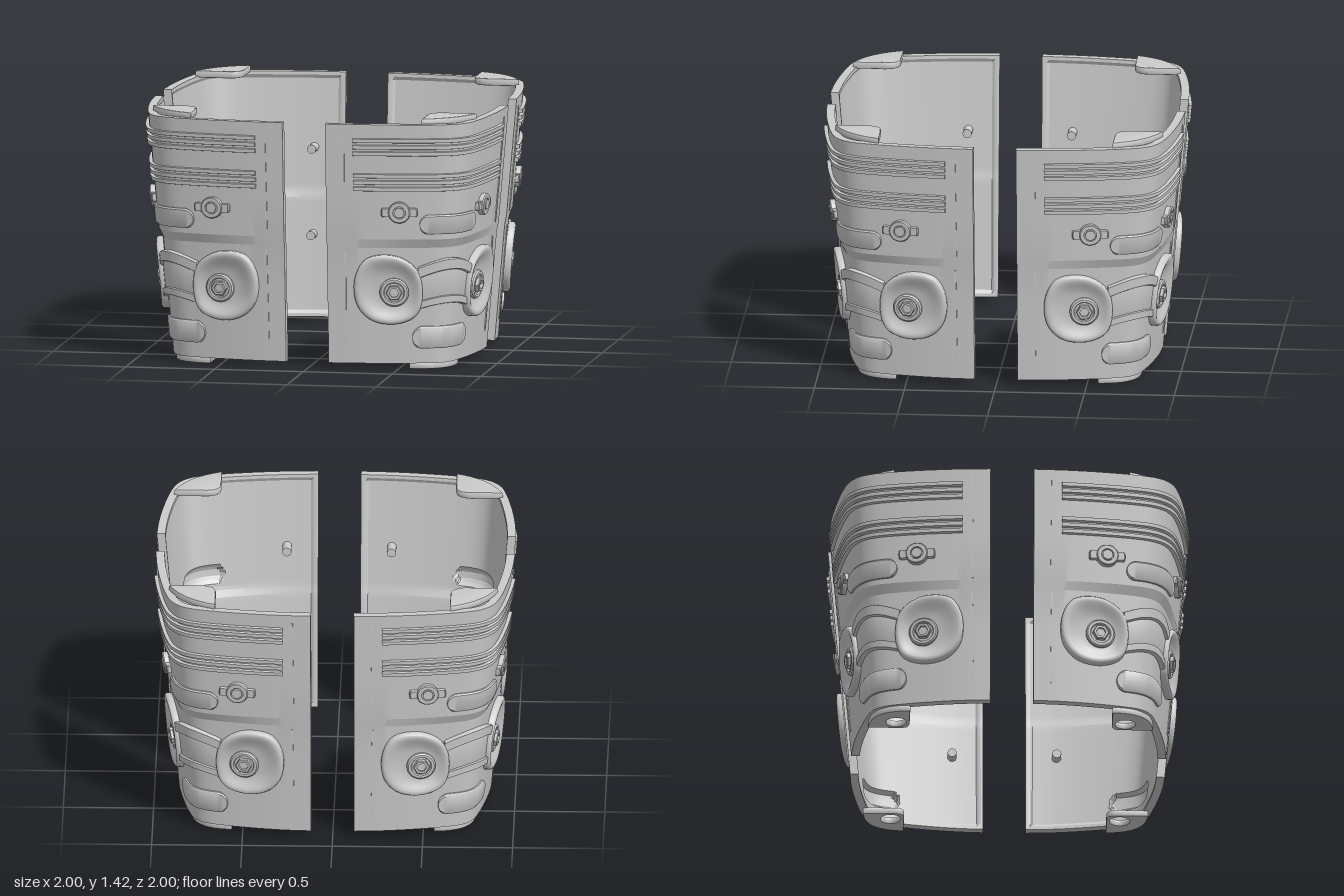
import * as THREE from 'three';
import { toCreasedNormals } from 'three/addons/utils/BufferGeometryUtils.js';

const material = new THREE.MeshStandardMaterial({ color: 0xcccccc, side: THREE.DoubleSide });
const Y0 = 0.035, Y1 = 1.39, END = 0.12;
const clamp = THREE.MathUtils.clamp, smooth = THREE.MathUtils.smoothstep;

// Plan curve of a corner panel at its top edge, symmetric about the diagonal
const half = [[0.12, 0.995], [0.3, 0.986], [0.5, 0.964], [0.69, 0.931], [0.795, 0.9]];
const plan = new THREE.CatmullRomCurve3(
  [...half, [0.858, 0.858], ...half.slice().reverse().map(([x, z]) => [z, x])]
    .map(([x, z]) => new THREE.Vector3(x, 0, z)), false, 'centripetal');
plan.arcLengthDivisions = 400;

const taper = y => 0.866 + 0.134 * (y - Y0) / (Y1 - Y0);

// Point on the panel: t along the plan, height y, d outward from the skin.
// The lower half steps inward, most of all at the corner.
function skin(t, y, d) {
  t = clamp(t, 0, 1);
  const p = plan.getPointAt(t), n = plan.getTangentAt(t), k = taper(y);
  d -= (0.006 + 0.016 * Math.sin(Math.PI * t) ** 2) * (1 - clamp((y - 0.69) / 0.05, 0, 1));
  return new THREE.Vector3(END + (p.x - END) * k - n.z * d, y, END + (p.z - END) * k + n.x * d);
}

// Plan parameter of a position x on the front face
function tOf(x, y) {
  let lo = 0, hi = 0.6;
  for (let i = 0; i < 18; i++) {
    const m = (lo + hi) / 2;
    if (END + (plan.getPointAt(m).x - END) * taper(y) < x) lo = m; else hi = m;
  }
  return lo;
}

// Joins rings of equal length into one surface
function loft(rings, closed, flip, crease = 0.6) {
  const n = rings[0].length, index = [], m = closed ? n : n - 1;
  for (let r = 0; r < rings.length - 1; r++) {
    for (let i = 0; i < m; i++) {
      const a = r * n + i, b = r * n + (i + 1) % n, c = b + n, d = a + n;
      index.push(...(flip ? [a, c, b, a, d, c] : [a, b, c, a, c, d]));
    }
  }
  const g = new THREE.BufferGeometry().setFromPoints(rings.flat());
  g.setIndex(index);
  return toCreasedNormals(g, crease);
}

function add(group, name, geometry) {
  const mesh = new THREE.Mesh(geometry, material);
  mesh.name = name;
  group.add(mesh);
}

// Raised strip along the panel; round gives it stadium ends, arch lifts its middle
function strip(t0, t1, yLow, yHigh, d, { round = false, arch = 0, steps = 36, rows = 1 } = {}) {
  const top = Array.from({ length: rows + 1 }, (_, i) => [0.08 + 0.84 * i / rows, d]);
  const section = [[0, -0.01], [0, 0.6 * d], ...top, [1, 0.6 * d], [1, -0.01]];
  const length = 1.55 * (t1 - t0), h = (yHigh - yLow) / 2, rings = [];
  for (let i = 0; i <= steps; i++) {
    const f = round ? (1 - Math.cos(Math.PI * i / steps)) / 2 : i / steps;
    const e = Math.min(f, 1 - f) * length;
    const hh = round && e < h ? Math.sqrt(Math.max(0, h * h - (h - e) ** 2)) : h;
    const mid = (yLow + yHigh) / 2 + arch * Math.sin(Math.PI * f);
    const row = q => section.map(([v, dd]) => skin(t0 + (t1 - t0) * f, mid + hh * (2 * v - 1), q ?? dd));
    if (i === 0) rings.push(row(-0.01));
    rings.push(row());
    if (i === steps) rings.push(row(-0.01));
  }
  return loft(rings, false, true);
}

// Raised boss: outline [dx, dy] about (x, y), profile of [scale, d] from rim to middle
function boss(x, y, outline, profile, mirror, crease) {
  const pts = mirror ? outline.slice().reverse() : outline;
  const rings = profile.map(([s, d]) => pts.map(([dx, dy]) => {
    const t = tOf(x + dx * s, y + dy * s);
    return skin(mirror ? 1 - t : t, y + dy * s, d);
  }));
  return loft(rings, true, false, crease);
}

const circle = (r, n) => Array.from({ length: n }, (_, i) =>
  [r * Math.cos(i * 2 * Math.PI / n), r * Math.sin(i * 2 * Math.PI / n)]);

// Corner pads [x start, low, high]; the wall is hollowed behind them
const pads = [[0.635, 0.77, 0.88], [0.585, 0.12, 0.245]].map(([x, a, b]) => ({ t: tOf(x, (a + b) / 2), a, b }));

// Inner face depth: thick border, thinner field, pockets behind the pads
function innerDepth(t, y) {
  const edge = Math.min(t * 1.55, (1 - t) * 1.55, y - Y0, Y1 - y);
  let d = -0.047 + 0.012 * smooth(edge, 0.025, 0.035);
  for (const { t: tp, a, b } of pads) {
    const h = (b - a) / 2, run = (0.5 - tp) * 1.55 - h;
    const away = Math.hypot(Math.max(0, Math.abs(t - 0.5) * 1.55 - run), y - (a + b) / 2);
    d += 0.025 * (1 - smooth(away, h - 0.024, h - 0.008));
  }
  return d;
}

function wall() {
  const outer = [Y0, 0.2, 0.45, 0.69, 0.74, 1, 1.2, Y1], steps = 110, inner = 72, rings = [];
  for (let i = 0; i <= steps; i++) {
    const t = i / steps;
    const ring = q => [
      ...outer.map(y => skin(t, y, q ?? 0)),
      ...Array.from({ length: inner + 1 }, (_, j) => {
        const y = Y1 - (Y1 - Y0) * j / inner;
        return skin(t, y, q ?? innerDepth(t, y));
      })];
    if (i === 0) rings.push(ring(-0.02));
    rings.push(ring());
    if (i === steps) rings.push(ring(-0.02));
  }
  return loft(rings, true, true, 0.16);
}

// Corner lug plate with a hole and softened edges
function lug(inner, outer, bulge, hole, r, top, depth, round) {
  const s = new THREE.Shape();
  s.moveTo(inner + round, inner);
  s.lineTo(outer, inner);
  s.quadraticCurveTo(bulge, bulge, inner, outer);
  s.lineTo(inner, inner + round);
  s.quadraticCurveTo(inner, inner, inner + round, inner);
  s.holes.push(new THREE.Path().absarc(hole, hole, r, 0, Math.PI * 2, true));
  const b = 0.008;
  const g = new THREE.ExtrudeGeometry(s, {
    depth: depth - 2 * b, bevelThickness: b, bevelSize: b, bevelOffset: -b, bevelSegments: 2, curveSegments: 20 });
  return toCreasedNormals(g.rotateX(Math.PI / 2).translate(0, top - b, 0), 0.6);
}

function panel() {
  const g = new THREE.Group();
  add(g, 'panelWall', wall());

  // Two groups of three wrap-around ribs
  for (const y of [1.3, 1.263, 1.226, 1.1, 1.063, 1.026]) {
    const t = tOf(0.275, y);
    add(g, 'rib', strip(t, 1 - t, y - 0.012, y + 0.012, 0.02));
  }
  for (const { t, a, b } of pads) add(g, 'cornerPad', strip(t, 1 - t, a, b, 0.016, { round: true, steps: 44 }));

  // Arched bridge between the discs, with two straps
  const tb = tOf(0.615, 0.45);
  add(g, 'bridge', strip(tb, 1 - tb, 0.35, 0.57, 0.014, { arch: 0.04 }));
  add(g, 'upperStrap', strip(tb, 1 - tb, 0.515, 0.58, 0.03, { arch: 0.05 }));
  add(g, 'lowerStrap', strip(tb, 1 - tb, 0.34, 0.385, 0.026, { arch: 0.035 }));

  // Rounded outlines of the dished disc and the winged fastener
  const discOutline = new THREE.CatmullRomCurve3(
    [[0.155, 0], [0.125, 0.13], [0.01, 0.205], [-0.15, 0.19], [-0.215, 0.08], [-0.205, -0.07], [-0.13, -0.155], [0, -0.18], [0.12, -0.13]]
      .map(([x, y]) => new THREE.Vector3(x, y, 0)), true).getSpacedPoints(48).slice(0, 48).map(p => [p.x, p.y]);
  const wings = circle(1, 32).map(([c, s]) => [c * 0.1, clamp(s * 0.1, -0.024, 0.024)]);

  for (const mirror of [false, true]) {
    add(g, 'dishedDisc', boss(0.49, 0.44, discOutline,
      [[1, -0.01], [1, 0.026], [0.97, 0.036], [0.92, 0.04], [0.84, 0.037], [0.75, 0.029], [0.65, 0.02], [0.55, 0.013], [0.45, 0.009], [0, 0.009]], mirror, 0.7));
    add(g, 'discBolt', boss(0.49, 0.44, circle(0.08, 28),
      [[1, 0], [1, 0.022], [0.9, 0.03], [0.72, 0.03], [0.66, 0.02], [0, 0.02]], mirror));
    add(g, 'hexBolt', boss(0.49, 0.44, circle(0.045, 6),
      [[1, 0.01], [1, 0.042], [0.9, 0.046], [0.6, 0.046], [0.6, 0.03], [0, 0.03]], mirror, 0.4));
    add(g, 'fastenerWings', boss(0.525, 0.895, wings, [[1, -0.01], [1, 0.018], [0.94, 0.024], [0, 0.024]], mirror));
    add(g, 'fastenerRing', boss(0.525, 0.895, circle(0.06, 24),
      [[1, -0.01], [1, 0.026], [0.92, 0.032], [0.58, 0.032], [0.55, 0.02], [0.46, 0.02], [0.46, 0.036], [0, 0.036]], mirror));

    // Thin seams beside the panel ends
    for (const [a, b] of [[0.14, 0.67], [0.75, 1.34]]) {
      const t = tOf(0.22, (a + b) / 2), u = mirror ? 1 - t : t;
      add(g, 'endSeam', strip(u - 0.003, u + 0.003, a, b, 0.006, { steps: 1, rows: 8 }));
    }
    // Inner pins
    for (const [y, start, end] of [[0.97, 0.825, 0.93], [0.49, 0.8, 0.885]]) {
      const pin = new THREE.CylinderGeometry(0.025, 0.025, end - start, 20).rotateX(Math.PI / 2);
      const mid = (end + start) / 2;
      if (mirror) pin.rotateY(Math.PI / 2).translate(mid, y, 0.29);
      else pin.translate(0.29, y, mid);
      add(g, 'innerPin', pin);
    }
  }

  add(g, 'topLug', lug(0.65, 0.91, 0.84, 0.74, 0.08, 1.42, 0.04, 0.085));
  add(g, 'bottomLug', lug(0.56, 0.79, 0.785, 0.635, 0.055, 0.04, 0.04, 0.05));
  return g;
}

export function createModel() {
  const model = new THREE.Group();
  model.name = 'fourPanelShell';
  const first = panel();
  for (let i = 0; i < 4; i++) {
    const p = i ? first.clone() : first;
    p.name = 'cornerPanel' + (i + 1);
    p.rotation.y = i * Math.PI / 2;
    model.add(p);
  }
  return model;
}
